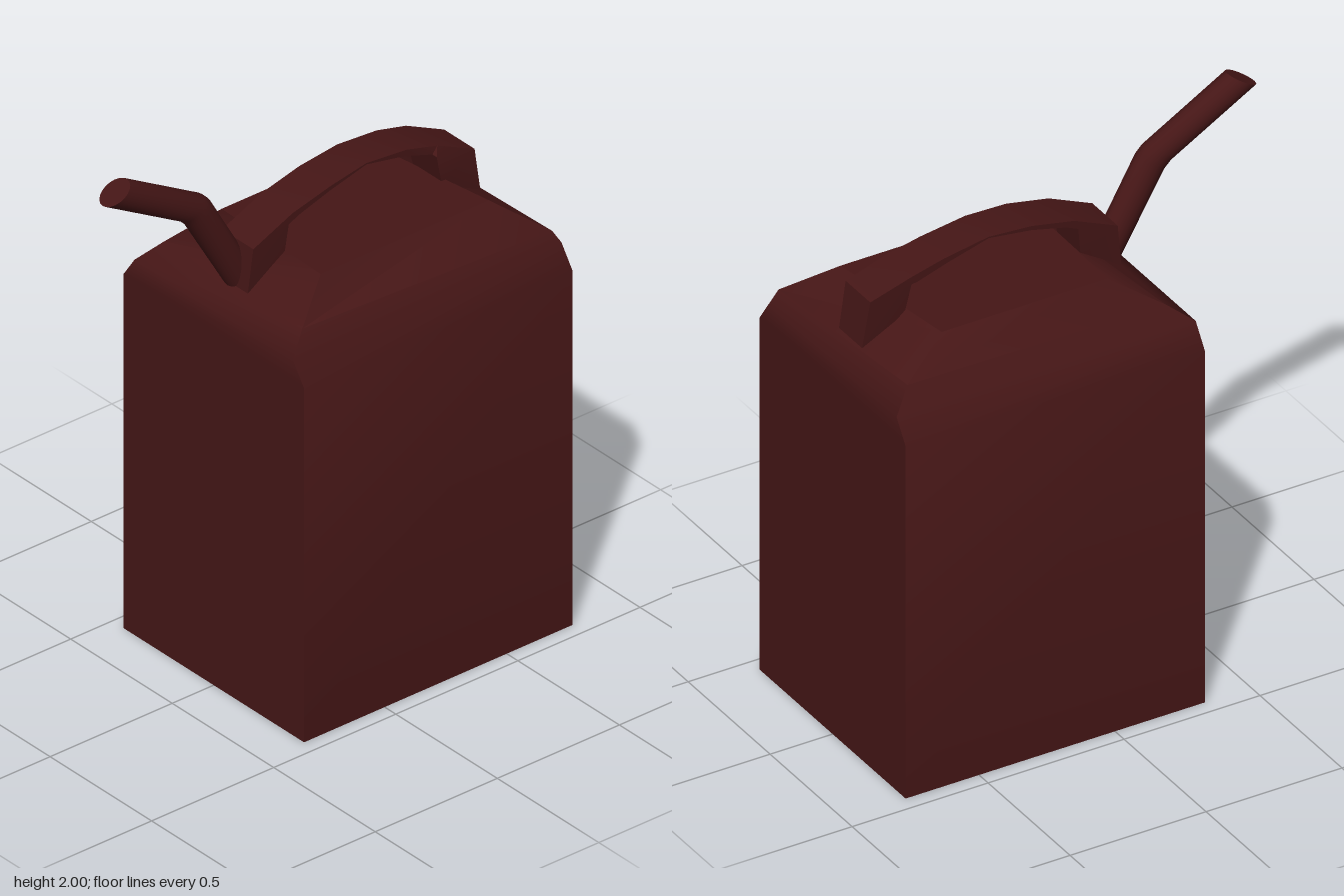
import * as THREE from 'three';
import { toCreasedNormals } from 'three/addons/utils/BufferGeometryUtils.js';

const material = new THREE.MeshStandardMaterial({ color: 0x451616 });

// Skin between rings of [x, y, z] points, each counterclockwise seen from its end, with flat caps
function loft(name, rings, crease) {
  const skin = [], caps = [];
  const n = rings[0].length;
  const tri = (out, ...points) => points.forEach((p) => out.push(...p));
  for (let i = 0; i < rings.length - 1; i++) {
    for (let j = 0; j < n; j++) {
      const k = (j + 1) % n;
      const a = rings[i][j], b = rings[i][k], c = rings[i + 1][k], d = rings[i + 1][j];
      tri(skin, a, b, c);
      tri(skin, a, c, d);
    }
  }
  const first = rings[0], last = rings[rings.length - 1];
  for (let j = 1; j < n - 1; j++) {
    tri(caps, first[0], first[j + 1], first[j]);
    tri(caps, last[0], last[j], last[j + 1]);
  }
  const group = new THREE.Group();
  group.name = name;
  const add = (label, positions, angle) => {
    let g = new THREE.BufferGeometry();
    g.setAttribute('position', new THREE.Float32BufferAttribute(positions, 3));
    g.computeVertexNormals();
    g = toCreasedNormals(g, angle);
    const mesh = new THREE.Mesh(g, material);
    mesh.name = label;
    group.add(mesh);
  };
  add(name + 'Sides', skin, crease);
  add(name + 'Ends', caps, 0.1);
  return group;
}

export function createModel() {
  const model = new THREE.Group();
  model.name = 'fuelCan';

  // Can body: upright box with shoulders sloping in to a small flat top
  const level = (y, w, front, back) => [[-w, y, front], [w, y, front], [w, y, back], [-w, y, back]];
  model.add(loft('body', [
    level(0, 0.445, 0.33, -0.77),
    level(1.31, 0.445, 0.33, -0.77),
    level(1.39, 0.39, 0.33, -0.77),
    [[-0.34, 1.45, 0.25], [0.34, 1.45, 0.25], [0.38, 1.44, -0.74], [-0.34, 1.46, -0.70]],
    [[-0.25, 1.55, 0.09], [0.25, 1.55, 0.1], [0.25, 1.55, -0.59], [-0.25, 1.55, -0.52]],
  ], 0.95));

  // Carrying handle: outer z, y, inner z, y, then its two side edges in x
  const handle = [
    [0.25, 1.44, 0.10, 1.53, -0.07, 0.07],
    [0.23, 1.61, 0.085, 1.645, -0.08, 0.075],
    [0.07, 1.68, 0.04, 1.665, -0.08, 0.075],
    [-0.09, 1.715, -0.09, 1.70, -0.085, 0.07],
    [-0.25, 1.73, -0.25, 1.725, -0.09, 0.055],
    [-0.42, 1.71, -0.41, 1.69, -0.10, 0.05],
    [-0.54, 1.68, -0.52, 1.655, -0.10, 0.055],
    [-0.68, 1.62, -0.525, 1.65, -0.08, 0.07],
    [-0.71, 1.44, -0.55, 1.54, -0.075, 0.065],
  ];
  model.add(loft('handle', handle.map(([zo, yo, zi, yi, l, r]) =>
    [[l, yo, zo], [r, yo, zo], [r, yi, zi], [l, yi, zi]]), 0.5));

  // Bent spout: lower z, y and upper z, y of each ring, the mouth cut at a slant
  const spout = [
    [0.26, 1.445, 0.17, 1.50],
    [0.43, 1.735, 0.34, 1.80],
    [0.455, 1.76, 0.365, 1.825],
    [0.77, 1.94, 0.67, 2.0],
  ];
  const sides = 20;
  model.add(loft('spout', spout.map(([zl, yl, zu, yu]) =>
    Array.from({ length: sides }, (_, i) => {
      const a = (i / sides) * Math.PI * 2, s = Math.sin(a) / 2;
      return [
        -0.018 + 0.047 * Math.cos(a),
        (yl + yu) / 2 - (yl - yu) * s,
        (zl + zu) / 2 - (zl - zu) * s,
      ];
    })), 0.8));

  return model;
}
